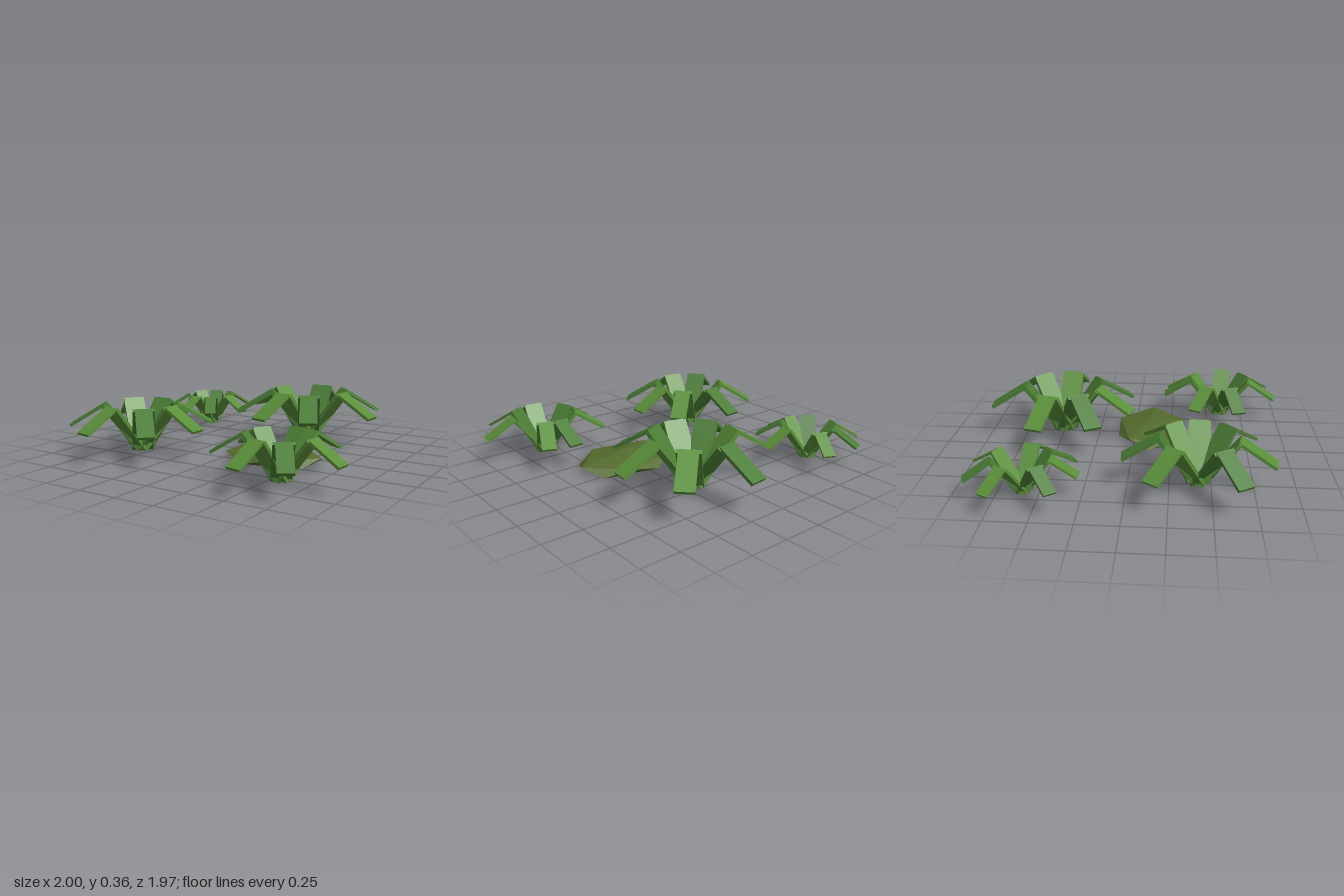
import * as THREE from 'three';
import { ConvexGeometry } from 'three/addons/geometries/ConvexGeometry.js';

const material = (color) => new THREE.MeshStandardMaterial({ color, flatShading: true });
const leafMaterials = [material(0x5a8f3a), material(0x4a7c35)];
const moundMaterial = material(0x556b2f);

// Flat slab whose centre line runs from [r0, y0] to [r1, y1] in the x-y plane
function slab(name, [r0, y0], [r1, y1], thickness, width, mat) {
  const length = Math.hypot(r1 - r0, y1 - y0);
  const mesh = new THREE.Mesh(new THREE.BoxGeometry(length, thickness, width), mat);
  mesh.position.set((r0 + r1) / 2, (y0 + y1) / 2, 0);
  mesh.rotation.z = Math.atan2(y1 - y0, r1 - r0);
  mesh.name = name;
  return mesh;
}

// A leaf rises outward from the base, then droops to its tip
function leaf(degrees, mat) {
  const group = new THREE.Group();
  group.name = 'leaf';
  group.add(
    slab('lowerLeaf', [0.02, 0.035], [0.262, 0.347], 0.025, 0.145, mat),
    slab('leafTip', [0.255, 0.347], [0.49, 0.205], 0.02, 0.115, mat)
  );
  group.rotation.y = -THREE.MathUtils.degToRad(degrees);
  return group;
}

// Rosette plant; angles turn from +x towards +z
function plant(x, z, scale, angles) {
  const group = new THREE.Group();
  group.name = 'plant';
  angles.forEach((a, i) => group.add(leaf(a, leafMaterials[i % 2])));
  group.position.set(x, 0, z);
  group.scale.setScalar(scale);
  return group;
}

// Low faceted mound: two staggered pentagons and a peak
function mound() {
  const points = [new THREE.Vector3(0, 0.095, 0)];
  for (let i = 0; i < 10; i++) {
    const a = (i * Math.PI) / 5;
    points.push(new THREE.Vector3(0.331 * Math.cos(a), i % 2 ? 0 : 0.045, 0.236 * Math.sin(a)));
  }
  const mesh = new THREE.Mesh(new ConvexGeometry(points), moundMaterial);
  mesh.position.set(0.285, 0, 0.112);
  mesh.name = 'mound';
  return mesh;
}

export function createModel() {
  const model = new THREE.Group();
  model.name = 'plantPatch';
  model.add(
    plant(0.227, -0.487, 1, [6, 64, 105.5, 150, 195.5, 264.5, 316]),
    plant(-0.516, 0.422, 0.92, [1.3, 46.5, 100.5, 147, 217, 266.6, 319]),
    plant(-0.677, -0.594, 0.68, [10, 57, 95, 140.5, 207, 249, 296]),
    plant(0.602, 0.588, 0.8, [8, 57.5, 99, 162.5, 208, 269, 295]),
    mound()
  );
  return model;
}
